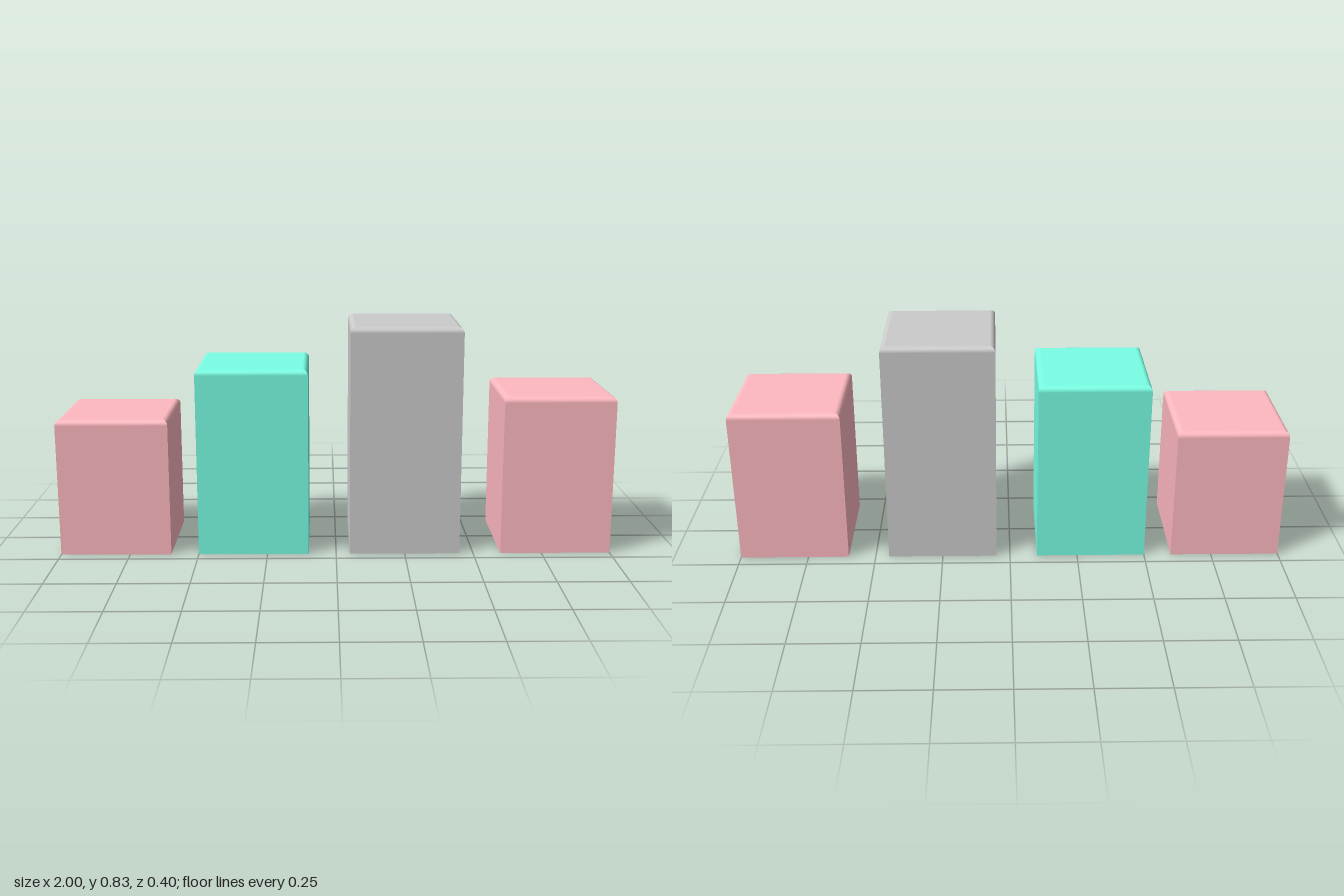
import * as THREE from 'three';

const WIDTH = 0.4, BEVEL = 0.02, STEPS = 9;

// Square block standing on y = 0, with rounded top edges and mitred corners.
function blockGeometry(height) {
  const geo = new THREE.BoxGeometry(WIDTH, height, WIDTH, 1, STEPS, 1);
  const pos = geo.attributes.position, nor = geo.attributes.normal;
  for (let i = 0; i < pos.count; i++) {
    const row = Math.round((pos.getY(i) / height + 0.5) * STEPS);
    if (row === 0) {
      pos.setY(i, 0);
      continue;
    }
    // Rows above the first follow a quarter-round bevel
    const a = ((row - 1) / (STEPS - 1)) * Math.PI / 2;
    const half = WIDTH / 2 - BEVEL * (1 - Math.cos(a));
    pos.setXYZ(i, Math.sign(pos.getX(i)) * half,
      height - BEVEL * (1 - Math.sin(a)), Math.sign(pos.getZ(i)) * half);
    if (Math.abs(nor.getY(i)) < 0.5) {
      nor.setXYZ(i, nor.getX(i) * Math.cos(a), Math.sin(a), nor.getZ(i) * Math.cos(a));
    }
  }
  return geo;
}

export function createModel() {
  const group = new THREE.Group();
  group.name = 'barChart';
  const pink = new THREE.MeshStandardMaterial({ color: 0xffb9c0 });
  const teal = new THREE.MeshStandardMaterial({ color: 0x78ffe4 });
  const grey = new THREE.MeshStandardMaterial({ color: 0xcccccc });

  // Four separate bars in a row
  const bars = [
    ['shortBar', -0.8, 0.5, pink],
    ['mediumBar', -0.3, 0.68, teal],
    ['tallBar', 0.25, 0.83, grey],
    ['endBar', 0.8, 0.58, pink],
  ];
  for (const [name, x, height, material] of bars) {
    const bar = new THREE.Mesh(blockGeometry(height), material);
    bar.name = name;
    bar.position.x = x;
    group.add(bar);
  }
  return group;
}
